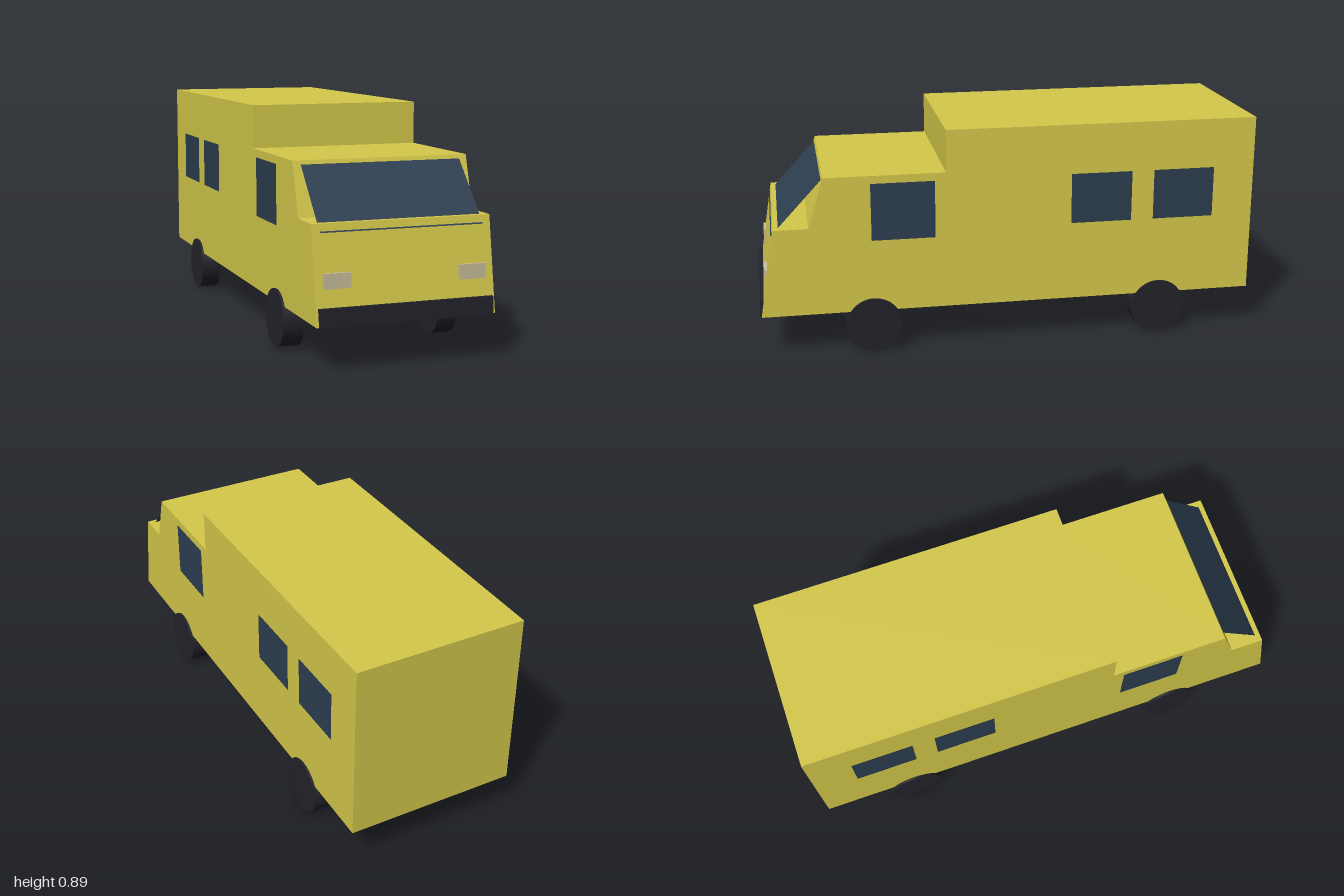
import * as THREE from 'three';

export function createModel() {
  const van = new THREE.Group();
  van.name = 'van';

  const mat = (name, color, side = THREE.FrontSide) => {
    const m = new THREE.MeshStandardMaterial({ color, side });
    m.name = name;
    return m;
  };
  const paint = mat('yellowPaint', 0xd4c84a);
  const glass = mat('darkGlass', 0x2c3e50, THREE.DoubleSide);
  const rubber = mat('blackRubber', 0x22222a);
  const lamp = mat('lampCream', 0xc9be9a);

  const add = (name, geometry, material, x = 0, y = 0, z = 0) => {
    const mesh = new THREE.Mesh(geometry, material);
    mesh.name = name;
    mesh.position.set(x, y, z);
    van.add(mesh);
    return mesh;
  };

  // Body: side profile (z, y) extruded across the width
  const halfWidth = 0.344;
  const profile = [
    [0.996, 0.17], [0.937, 0.525], [0.8, 0.525], [0.738, 0.725],
    [0.26, 0.725], [0.26, 0.894], [-1, 0.894], [-1, 0.17],
  ].map(([z, y]) => new THREE.Vector2(z, y));
  const body = new THREE.ExtrudeGeometry(new THREE.Shape(profile), {
    depth: halfWidth * 2, bevelEnabled: false,
  });
  body.translate(0, 0, -halfWidth).rotateY(-Math.PI / 2);
  add('body', body, paint);

  // Windscreen: a flat sloping pane whose lower edge dips through the bonnet
  const top = new THREE.Vector2(0.744, 0.71);
  const bottom = new THREE.Vector2(0.946, 0.493);
  const pane = new THREE.PlaneGeometry(0.628, top.distanceTo(bottom));
  const windscreen = add('windscreen', pane, glass, 0,
    (top.y + bottom.y) / 2, (top.x + bottom.x) / 2);
  windscreen.rotation.x = -Math.atan2(bottom.x - top.x, top.y - bottom.y);

  // Bumpers, the rear one set just inside the back panel
  add('frontBumper', new THREE.BoxGeometry(0.67, 0.067, 0.034), rubber, 0, 0.2015, 0.983);
  add('rearBumper', new THREE.BoxGeometry(0.67, 0.04, 0.034), rubber, 0, 0.188, -0.982);

  // Mirrored parts
  const wheel = new THREE.CylinderGeometry(0.111, 0.111, 0.08, 32).rotateZ(Math.PI / 2);
  const headlight = new THREE.BoxGeometry(0.105, 0.055, 0.04);
  const sideWindows = [
    ['cabWindow', 0.305, 0.557, 0.463],
    ['middleWindow', -0.491, -0.243, 0.49],
    ['rearWindow', -0.832, -0.582, 0.49],
  ];
  for (const [label, s] of [['left', 1], ['right', -1]]) {
    add(`${label}FrontWheel`, wheel, rubber, s * 0.314, 0.111, 0.555);
    add(`${label}RearWheel`, wheel, rubber, s * 0.314, 0.111, -0.615);
    add(`${label}Headlight`, headlight, lamp, s * 0.26, 0.327, 0.957);
    for (const [name, z0, z1, y0] of sideWindows) {
      const g = new THREE.PlaneGeometry(z1 - z0, 0.694 - y0).rotateY(s * Math.PI / 2);
      add(`${label}${name[0].toUpperCase()}${name.slice(1)}`, g, glass,
        s * (halfWidth + 0.002), (y0 + 0.694) / 2, (z0 + z1) / 2);
    }
  }

  return van;
}
